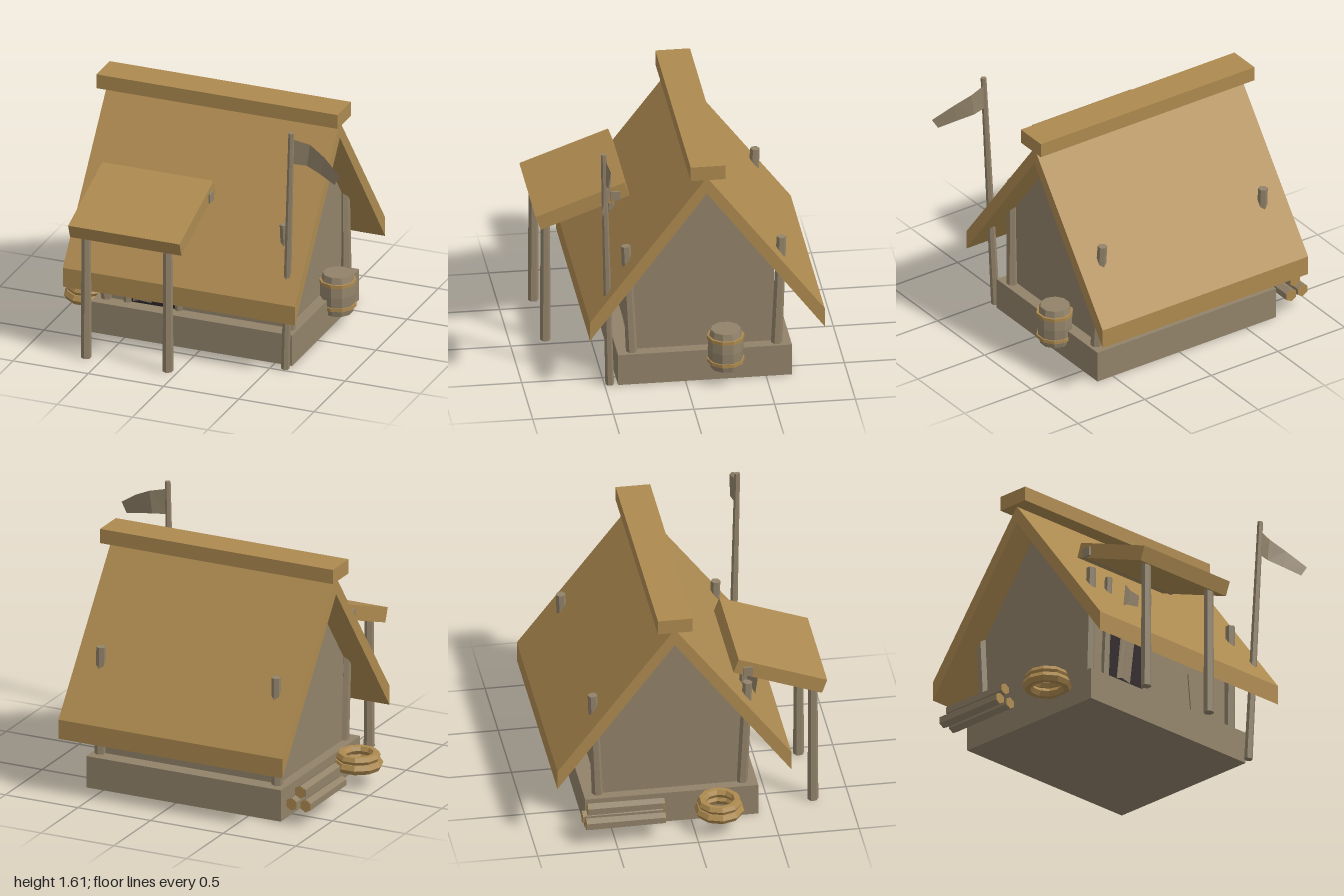
import * as THREE from 'three';

const mat = (name, color, side = THREE.FrontSide) => {
  const m = new THREE.MeshStandardMaterial({ color, side });
  m.name = name;
  return m;
};

export function createModel() {
  const root = new THREE.Group();
  root.name = 'hut';
  const straw = mat('straw', 0xad8a50);
  const wood = mat('weathered wood', 0x92836a);
  const cloth = mat('cloth', 0x92836a, THREE.DoubleSide);
  const dark = mat('dark opening', 0x2e2428);

  const add = (name, geo, m, x = 0, y = 0, z = 0) => {
    const mesh = new THREE.Mesh(geo.index ? geo.toNonIndexed() : geo, m);
    mesh.geometry.computeVertexNormals();
    mesh.name = name;
    mesh.position.set(x, y, z);
    root.add(mesh);
    return mesh;
  };
  // Box given by its limits
  const box = (name, m, x0, x1, y0, y1, z0, z1) =>
    add(name, new THREE.BoxGeometry(x1 - x0, y1 - y0, z1 - z0), m, (x0 + x1) / 2, (y0 + y1) / 2, (z0 + z1) / 2);
  // Six-sided pole between two points
  const pole = (name, a, b, r0, r1, m = wood) => {
    const p = new THREE.Vector3(...a), q = new THREE.Vector3(...b), d = q.clone().sub(p);
    const mesh = add(name, new THREE.CylinderGeometry(r1, r0, d.length(), 6), m);
    mesh.position.copy(p).add(q).multiplyScalar(0.5);
    mesh.quaternion.setFromUnitVectors(new THREE.Vector3(0, 1, 0), d.normalize());
    return mesh;
  };
  // Profile of [z, y] points extruded along x
  const alongX = (name, pts, x0, x1, m) => {
    const shape = new THREE.Shape(pts.map(([z, y]) => new THREE.Vector2(-z, y)));
    const geo = new THREE.ExtrudeGeometry(shape, { depth: x1 - x0, bevelEnabled: false });
    return add(name, geo.rotateY(Math.PI / 2), m, x0);
  };
  // Thin sheet from two edges with the same number of points
  const sheet = (name, top, bottom) => {
    const pos = [], idx = [];
    top.forEach((p, i) => {
      pos.push(...p, ...bottom[i]);
      if (i) idx.push(2 * i - 2, 2 * i - 1, 2 * i, 2 * i, 2 * i - 1, 2 * i + 1);
    });
    const geo = new THREE.BufferGeometry();
    geo.setAttribute('position', new THREE.Float32BufferAttribute(pos, 3));
    geo.setIndex(idx);
    return add(name, geo, cloth);
  };

  // Base, gabled walls and roof
  box('base', wood, -0.725, 0.615, 0, 0.205, -0.66, 0.418);
  alongX('walls', [[0.32, 0.2], [0.32, 0.75], [-0.12, 1.335], [-0.56, 0.75], [-0.56, 0.2]], -0.66, 0.54, wood);
  alongX('roof', [[0.605, 0.365], [0.605, 0.49], [-0.12, 1.44], [-0.85, 0.49], [-0.85, 0.365], [-0.12, 1.33]],
    -0.832, 0.71, straw);
  box('ridgeBeam', straw, -0.865, 0.738, 1.437, 1.53, -0.23, -0.015);

  // Corner posts leaning outwards, with tips through the roof
  for (const [x0, x1] of [[-0.655, -0.665], [0.565, 0.54]]) {
    pole('frontPost', [x0, 0.16, 0.325], [x1, 0.917, 0.36], 0.036, 0.03);
    pole('backPost', [x0, 0.16, -0.57], [x1, 0.917, -0.605], 0.036, 0.03);
  }

  // Doorway
  for (const x of [-0.515, -0.175]) pole('doorPost', [x, 0.2, 0.325], [x, 0.9, 0.36], 0.026, 0.024);
  box('doorway', dark, -0.49, -0.2, 0.206, 0.7, 0.32, 0.326);
  sheet('tornCurtain',
    [[-0.47, 0.84, 0.46], [-0.39, 0.84, 0.42], [-0.29, 0.84, 0.4]],
    [[-0.46, 0.235, 0.375], [-0.42, 0.25, 0.38], [-0.34, 0.24, 0.37]]);
  const patch = box('wallBoard', wood, 0.215, 0.305, 0.24, 0.5, 0.325, 0.333);
  patch.rotation.z = 0.1;

  // Porch canopy
  const canopy = box('canopy', straw, -0.695, 0.045, 0.9075, 1.0025, 0.267, 0.853);
  canopy.rotation.x = 0.349;
  box('canopyBeam', wood, -0.71, 0.057, 0.985, 1.045, 0.327, 0.387);
  for (const x of [-0.605, -0.062]) pole('canopyPost', [x, 0, 0.777], [x, 0.84, 0.777], 0.034, 0.029);

  // Flag
  pole('flagPole', [0.59, 0, 0.467], [0.648, 1.612, 0.512], 0.027, 0.018);
  sheet('flag',
    [[0.65, 1.565, 0.5], [0.76, 1.54, 0.482], [0.87, 1.485, 0.515], [0.995, 1.4, 0.57]],
    [[0.65, 1.4, 0.5], [0.74, 1.395, 0.482], [0.84, 1.37, 0.515], [0.955, 1.335, 0.56]]);

  // Barrel with hoops
  const stave = [[0, 0.1], [0.093, 0.1], [0.108, 0.165], [0.112, 0.23], [0.108, 0.295], [0.093, 0.36], [0, 0.36]];
  add('barrel', new THREE.LatheGeometry(stave.map((p) => new THREE.Vector2(...p)), 10), wood, 0.645, 0, -0.245);
  for (const y of [0.152, 0.308])
    add('barrelHoop', new THREE.CylinderGeometry(0.116, 0.116, 0.022, 10), straw, 0.645, y, -0.245);

  // Firewood with cut ends
  for (const [x, y, z0, z1] of [[-0.907, 0.14, -0.68, -0.195], [-0.815, 0.14, -0.69, -0.2], [-0.863, 0.218, -0.665, -0.195]]) {
    const log = pole('log', [x, y, z0], [x, y, z1], 0.042, 0.038);
    log.name = 'log';
    pole('logEnd', [x, y, z0 - 0.004], [x, y, z0], 0.041, 0.041, straw);
    pole('logEnd', [x, y, z1], [x, y, z1 + 0.004], 0.037, 0.037, straw);
  }

  // Coiled rope
  for (const [r, t, y] of [[0.122, 0.034, 0.134], [0.11, 0.03, 0.184]])
    add('ropeCoil', new THREE.TorusGeometry(r, t, 6, 10).rotateX(Math.PI / 2), straw, -0.845, y, 0.155);

  return root;
}
